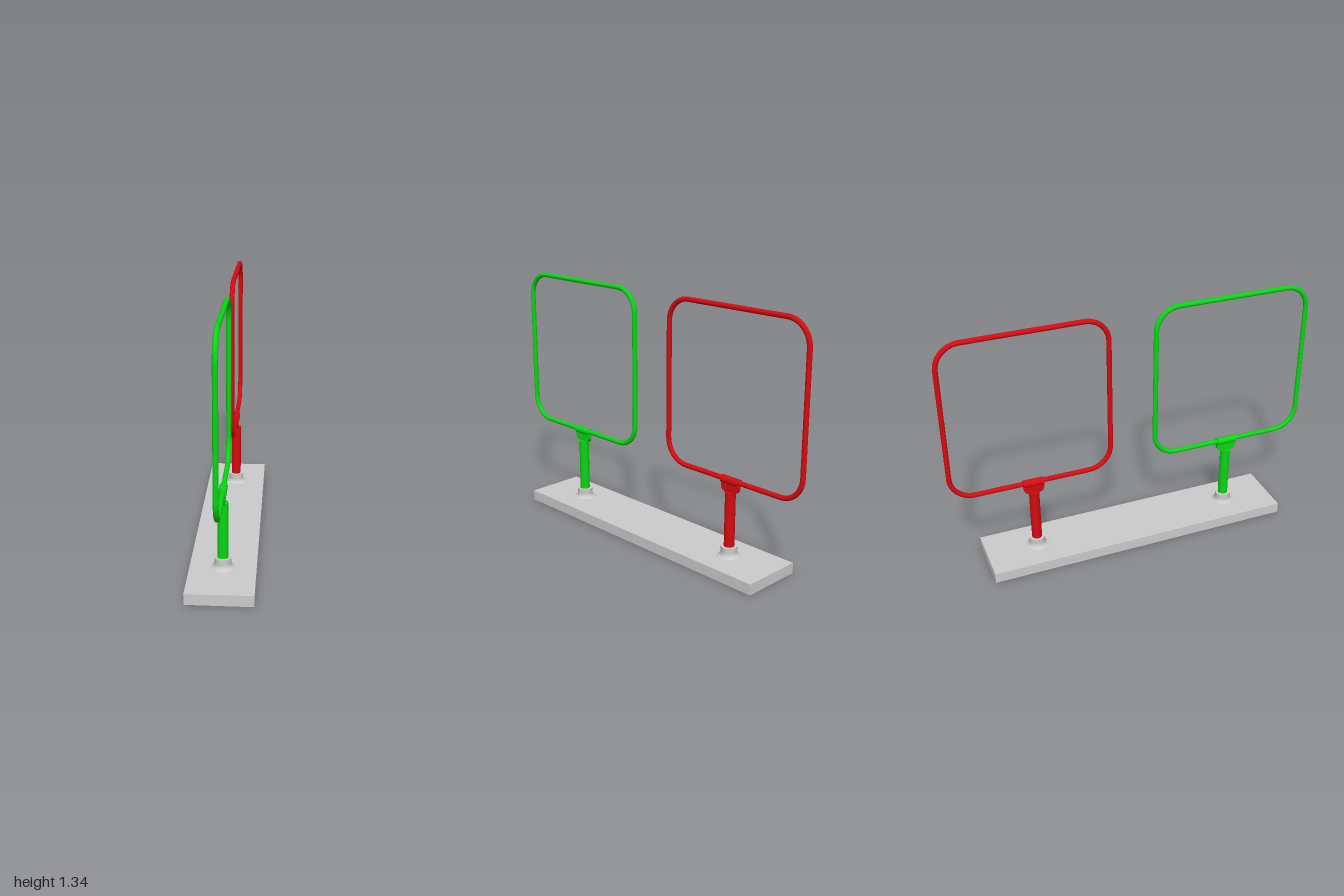
import * as THREE from 'three';

const grey = new THREE.MeshStandardMaterial({ color: 0xcccccc });
const green = new THREE.MeshStandardMaterial({ color: 0x0bd616 });
const red = new THREE.MeshStandardMaterial({ color: 0xd60b10 });

const BASE_TOP = 0.057;
const POST_TOP = 0.402;
const TUBE_Y = 0.463;   // height of the loop's lower run
const LOOP_HALF = 0.43; // half the loop's centreline width
const CORNER = 0.125;   // centreline corner radius
const GATE_Z = 0.557;

// Closed rounded square in the z-y plane, parametrised by length
class LoopCurve extends THREE.Curve {
  constructor(half, r) {
    super();
    const c = half - r;
    this.path = new THREE.Path();
    this.path.moveTo(0, -half);
    this.path.lineTo(c, -half);
    this.path.absarc(c, -c, r, -Math.PI / 2, 0);
    this.path.absarc(c, c, r, 0, Math.PI / 2);
    this.path.absarc(-c, c, r, Math.PI / 2, Math.PI);
    this.path.absarc(-c, -c, r, Math.PI, Math.PI * 1.5);
    this.path.lineTo(0, -half);
  }
  getPoint(t, target = new THREE.Vector3()) {
    const p = this.path.getPoint(t);
    return target.set(0, p.y, p.x);
  }
}

function add(parent, name, geometry, material, y = 0) {
  const mesh = new THREE.Mesh(geometry, material);
  mesh.name = name;
  mesh.position.y = y;
  parent.add(mesh);
  return mesh;
}

// Flared foot socket: flat top, straight collar, concave fillet onto the base
function socketGeometry() {
  const pts = [[0.064, 0], [0.064, 0.002]];
  for (let i = 1; i <= 8; i++) {
    const a = (i / 8) * Math.PI / 2;
    pts.push([0.064 - 0.022 * Math.sin(a), 0.002 + 0.026 * (1 - Math.cos(a))]);
  }
  const side = new THREE.LatheGeometry(pts.concat([[0.042, 0.055]]).map(p => new THREE.Vector2(...p)), 32);
  return side;
}

// Thin tab joining post to sleeve, with rounded lower corners
function tabGeometry() {
  const s = new THREE.Shape();
  s.moveTo(-0.055, TUBE_Y);
  s.lineTo(-0.055, 0.436);
  s.bezierCurveTo(-0.053, 0.412, -0.043, 0.403, -0.03, 0.4);
  s.lineTo(0.03, 0.4);
  s.bezierCurveTo(0.043, 0.403, 0.053, 0.412, 0.055, 0.436);
  s.lineTo(0.055, TUBE_Y);
  s.closePath();
  const g = new THREE.ExtrudeGeometry(s, { depth: 0.022, bevelEnabled: false, curveSegments: 8 });
  return g.translate(0, 0, -0.011).rotateY(Math.PI / 2);
}

function makeGate(name, material, z) {
  const gate = new THREE.Group();
  gate.name = name;
  gate.position.z = z;

  add(gate, 'socket', socketGeometry(), grey, BASE_TOP);
  add(gate, 'socketTop', new THREE.CircleGeometry(0.042, 32).rotateX(-Math.PI / 2), grey, BASE_TOP + 0.055);

  const postHeight = POST_TOP - BASE_TOP;
  add(gate, 'post', new THREE.CylinderGeometry(0.027, 0.027, postHeight, 32), material, BASE_TOP + postHeight / 2);

  // Clamp holding the loop
  add(gate, 'clampTab', tabGeometry(), material);
  add(gate, 'clampSleeve', new THREE.CylinderGeometry(0.02, 0.02, 0.11, 24).rotateX(Math.PI / 2), material, TUBE_Y - 0.002);

  add(gate, 'loop', new THREE.TubeGeometry(new LoopCurve(LOOP_HALF, CORNER), 200, 0.013, 16, true),
    material, TUBE_Y + LOOP_HALF);
  return gate;
}

export function createModel() {
  const model = new THREE.Group();
  model.name = 'twinLoopStand';
  add(model, 'base', new THREE.BoxGeometry(0.33, BASE_TOP, 1.67), grey, BASE_TOP / 2);
  model.add(makeGate('frontGate', green, GATE_Z), makeGate('rearGate', red, -GATE_Z));
  return model;
}
